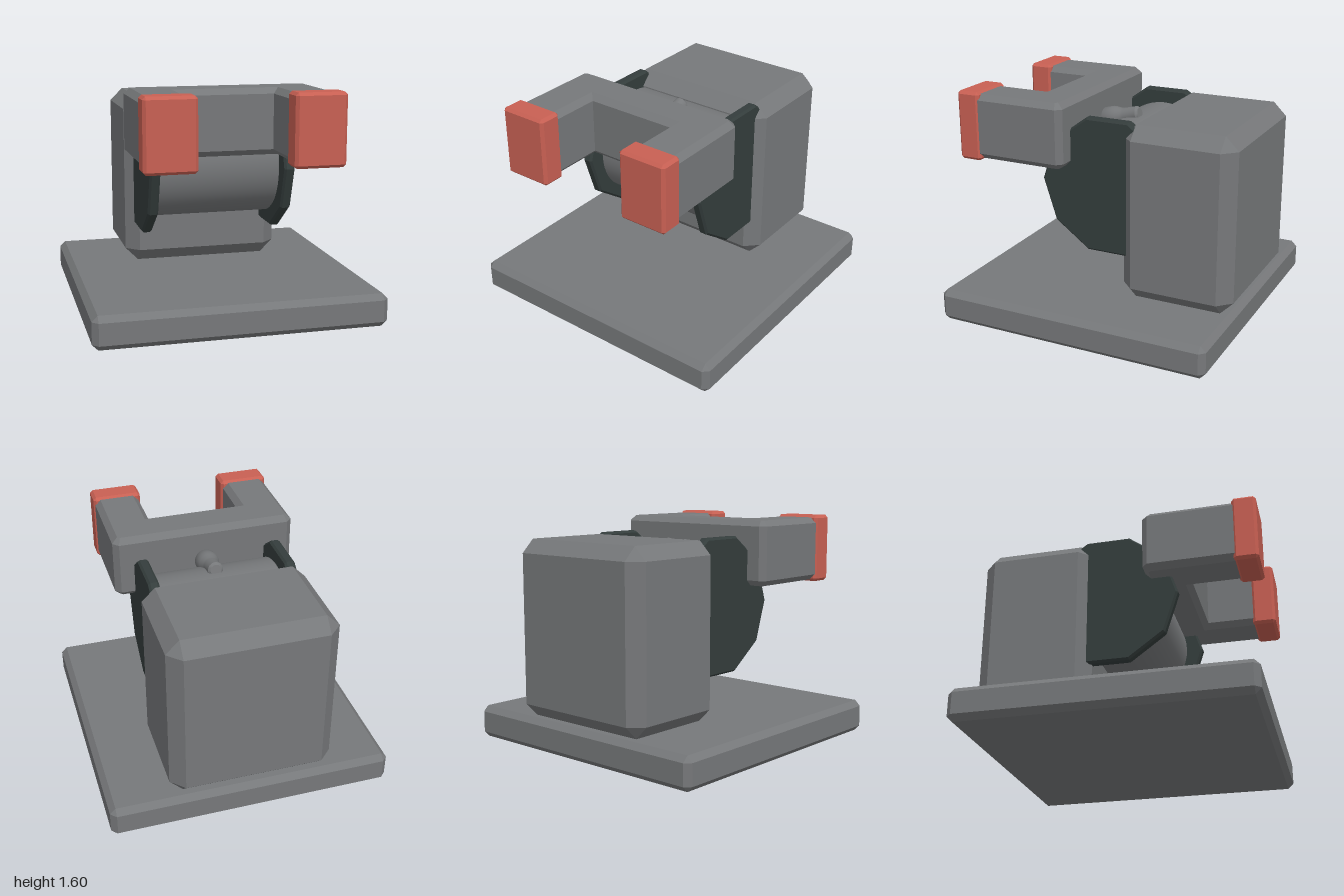
import * as THREE from 'three';
import { toCreasedNormals } from 'three/addons/utils/BufferGeometryUtils.js';
import { ConvexGeometry } from 'three/addons/geometries/ConvexGeometry.js';

const grey = new THREE.MeshStandardMaterial({ color: 0x76787a });
grey.name = 'grey metal';
const dark = new THREE.MeshStandardMaterial({ color: 0x343d3c });
dark.name = 'dark metal';
const red = new THREE.MeshStandardMaterial({ color: 0xc86053 });
red.name = 'red pads';

// Box given by its extents, with every edge cut at 45 degrees
function chamferBox(x0, x1, y0, y1, z0, z1, c) {
  const points = [];
  for (const [x, sx] of [[x0, 1], [x1, -1]])
    for (const [y, sy] of [[y0, 1], [y1, -1]])
      for (const [z, sz] of [[z0, 1], [z1, -1]]) {
        points.push(new THREE.Vector3(x, y + sy * c, z + sz * c));
        points.push(new THREE.Vector3(x + sx * c, y, z + sz * c));
        points.push(new THREE.Vector3(x + sx * c, y + sy * c, z));
      }
  return new ConvexGeometry(points);
}

// Turned part from [radius, height] pairs; edges sharper than the crease stay hard
function turned(profile, sides, crease) {
  const points = profile.map(([r, h]) => new THREE.Vector2(r, h));
  return toCreasedNormals(new THREE.LatheGeometry(points, sides), crease);
}

// Drum with bevelled rims, lying along x
function drum(radius, length, bevel, sides, crease) {
  const h = length / 2;
  return turned([[0, -h], [radius - bevel, -h], [radius, -h + bevel],
    [radius, h - bevel], [radius - bevel, h], [0, h]], sides, crease).rotateZ(Math.PI / 2);
}

export function createModel() {
  const group = new THREE.Group();
  const add = (name, geometry, material) => {
    const mesh = new THREE.Mesh(geometry, material);
    mesh.name = name;
    group.add(mesh);
    return mesh;
  };

  // Base plate and upright housing
  add('basePlate', chamferBox(-1, 1, 0, 0.23, -1, 1, 0.04), grey);
  add('housing', chamferBox(-0.575, 0.575, 0.23, 1.465, -1, -0.19, 0.093), grey);

  // Roller between two ten-sided cheeks
  add('roller', drum(0.38, 0.89, 0.015, 48, 0.5), grey).position.set(0, 1, -0.08);
  for (const [side, s] of [['left', 1], ['right', -1]])
    add(side + 'Cheek', drum(0.5, 0.075, 0.015, 10, 0.1), dark).position.set(s * 0.478, 1, -0.08);

  // Peg reaching back from the fork over the roller
  const peg = add('peg', turned([[0, 0], [0.07, 0], [0.08, 0.02], [0.08, 0.085], [0.072, 0.115],
    [0.058, 0.15], [0.055, 0.17], [0.055, 0.27], [0.04, 0.285], [0, 0.285]], 24, 0.6), grey);
  peg.position.set(0, 1.33, 0.195);
  peg.rotation.x = -1.326;

  // U-shaped fork, drawn in plan (shape y becomes z) and bevelled above and below
  const plan = new THREE.Shape([[-0.655, 0.9], [-0.655, 0.235], [-0.615, 0.195], [0.615, 0.195],
    [0.655, 0.235], [0.655, 0.9], [0.33, 0.9], [0.33, 0.49], [-0.33, 0.49], [-0.33, 0.9]]
    .map(([x, z]) => new THREE.Vector2(x, z)));
  const fork = new THREE.ExtrudeGeometry(plan, {
    depth: 0.38, bevelEnabled: true, bevelSegments: 1,
    bevelThickness: 0.04, bevelSize: 0.04, bevelOffset: -0.04,
  });
  fork.rotateX(Math.PI / 2).translate(0, 1.54, 0);
  add('fork', fork, grey);

  // Red pads on the fork ends
  add('leftPad', chamferBox(0.315, 0.665, 1.107, 1.595, 0.83, 1, 0.02), red);
  add('rightPad', chamferBox(-0.665, -0.315, 1.107, 1.595, 0.83, 1, 0.02), red);

  return group;
}
